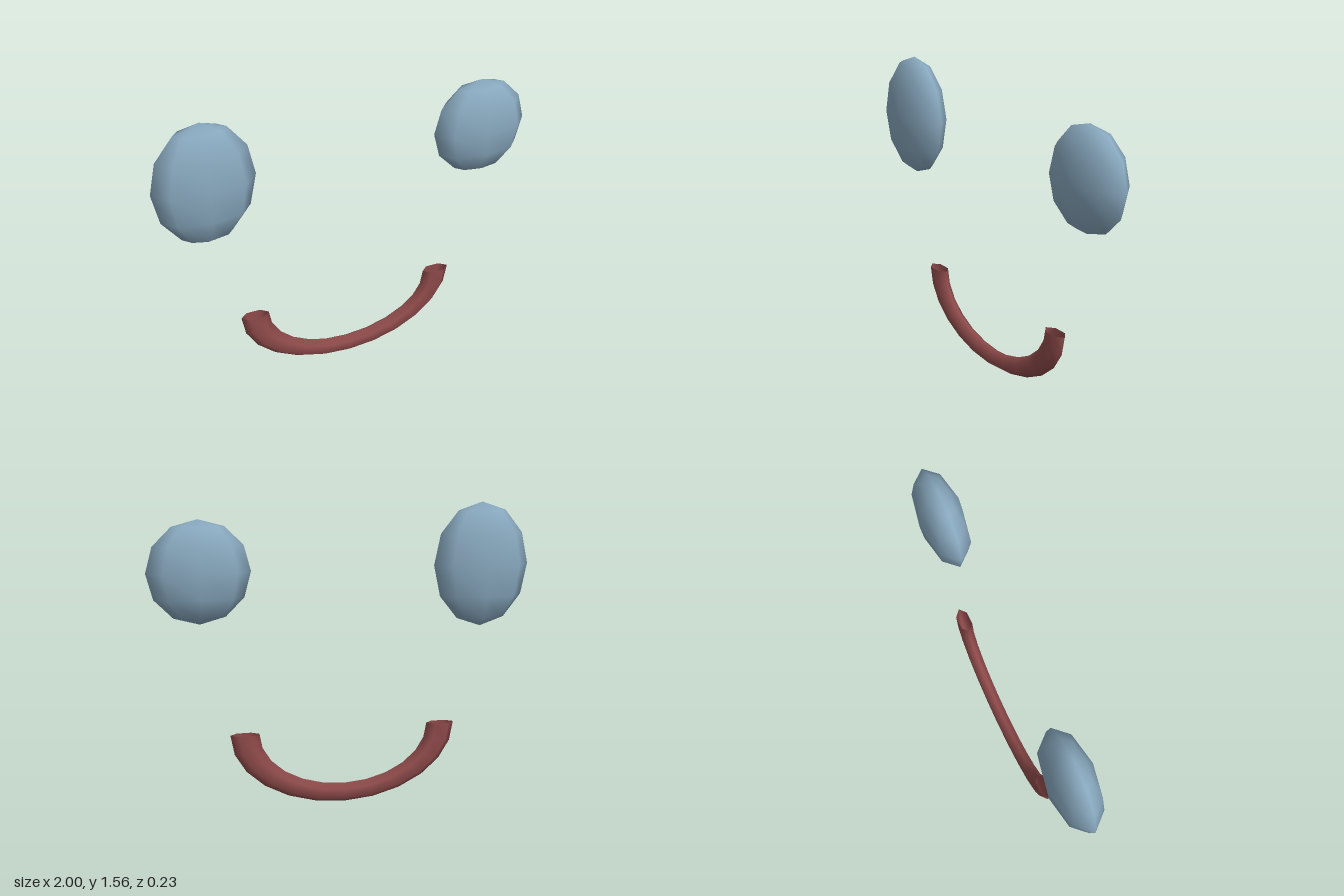
import * as THREE from 'three';

export function createModel() {
  const group = new THREE.Group();
  const eyeMaterial = new THREE.MeshStandardMaterial({ color: 0x88a8be });
  const mouthMaterial = new THREE.MeshStandardMaterial({ color: 0x8e4a4a, side: THREE.DoubleSide });

  // Flattened low-sided eyes, the right one taller
  const eyeGeometry = new THREE.SphereGeometry(1, 8, 6);
  for (const [name, x, height] of [['rightEye', -0.74, 0.325], ['leftEye', 0.74, 0.26]]) {
    const eye = new THREE.Mesh(eyeGeometry, eyeMaterial);
    eye.name = name;
    eye.position.set(x, 1.235, 0);
    eye.scale.set(0.26, height, 0.116);
    group.add(eye);
  }

  // Smile: open-ended half ring, squashed in height and depth
  const mouthGeometry = new THREE.TorusGeometry(0.525, 0.075, 6, 12, Math.PI);
  mouthGeometry.rotateZ(Math.PI);
  const mouth = new THREE.Mesh(mouthGeometry, mouthMaterial);
  mouth.name = 'mouth';
  mouth.position.y = 0.396;
  mouth.scale.set(1, 0.66, 0.51);
  group.add(mouth);

  return group;
}
